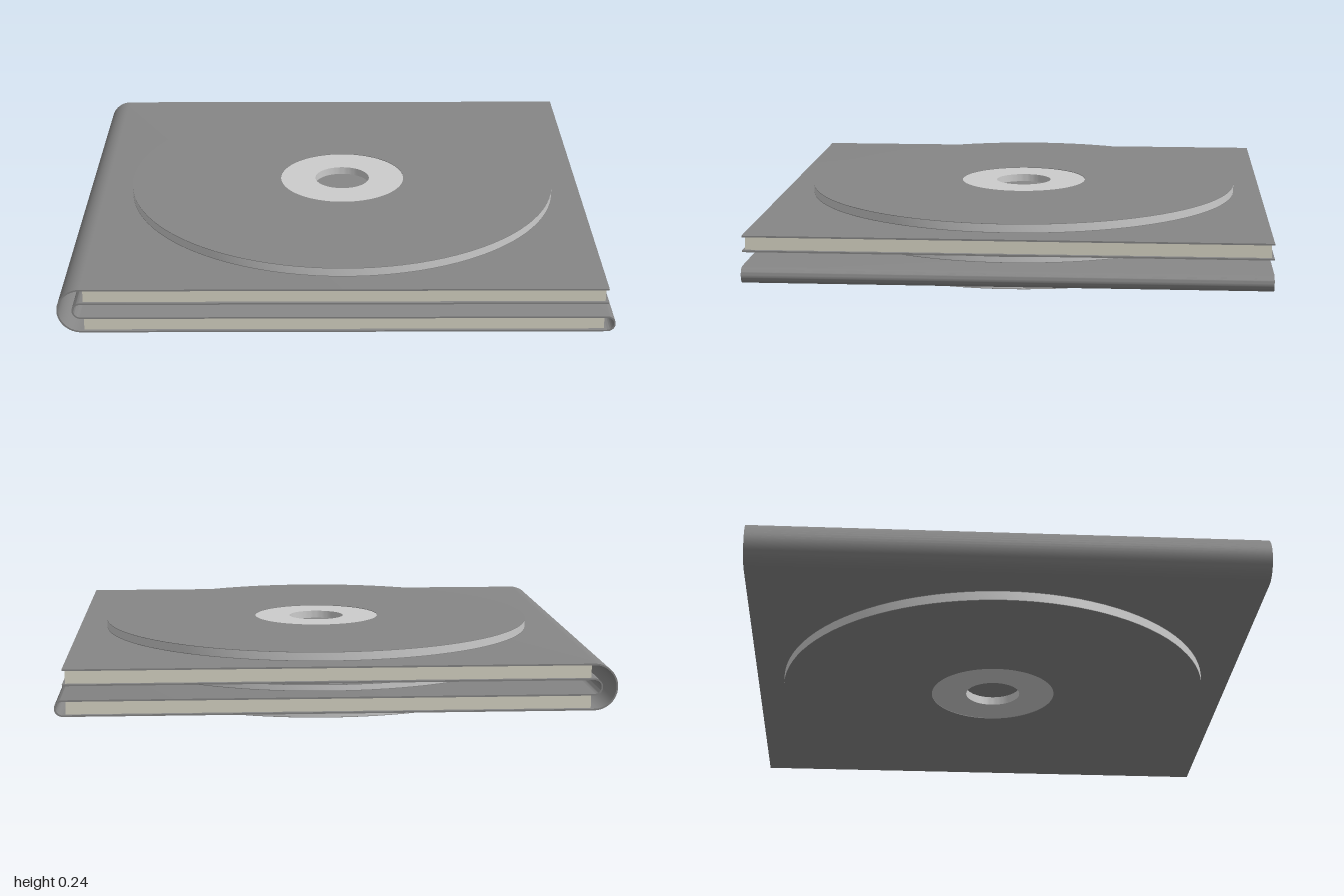
import * as THREE from 'three';
import { toCreasedNormals } from 'three/addons/utils/BufferGeometryUtils.js';

const material = (color) => new THREE.MeshStandardMaterial({ color });
const grey = material(0x868686);
const light = material(0xcccccc);
const cream = material(0xd9d6c6);

const DISC_X = 0.027, R = 0.836, HUB = 0.245, HOLE = 0.107;
const DEPTH = 1.88;

function add(parent, name, geometry, mat, x = 0, y = 0, z = 0) {
  const mesh = new THREE.Mesh(geometry, mat);
  mesh.name = name;
  mesh.position.set(x, y, z);
  parent.add(mesh);
  return mesh;
}

// Closed rectangular ring turned about y
function ring(inner, outer, y0, y1) {
  const profile = [[inner, y0], [outer, y0], [outer, y1], [inner, y1], [inner, y0]]
    .map(([r, y]) => new THREE.Vector2(r, y));
  return toCreasedNormals(new THREE.LatheGeometry(profile, 96), 0.6);
}

// Points along a half circle
function arc(cx, cy, r, from, to, n = 24) {
  return Array.from({ length: n + 1 }, (_, i) => {
    const a = from + (to - from) * i / n;
    return new THREE.Vector2(cx + r * Math.cos(a), cy + r * Math.sin(a));
  });
}

// Gives a line of points a thickness and extrudes it through the depth
function sheet(points, thickness) {
  const sides = [[], []];
  points.forEach((p, i) => {
    const a = points[Math.max(i - 1, 0)];
    const b = points[Math.min(i + 1, points.length - 1)];
    const d = b.clone().sub(a).normalize().multiplyScalar(thickness / 2);
    sides[0].push(new THREE.Vector2(p.x - d.y, p.y + d.x));
    sides[1].unshift(new THREE.Vector2(p.x + d.y, p.y - d.x));
  });
  const shape = new THREE.Shape([...sides[0], ...sides[1]]);
  const geometry = new THREE.ExtrudeGeometry(shape, { depth: DEPTH, bevelEnabled: false });
  geometry.translate(0, 0, -DEPTH / 2);
  return toCreasedNormals(geometry, 0.5);
}

// Disc: pale core with a visible hub, grey playing surface on both faces
function disc(name, y0, y1) {
  const group = new THREE.Group();
  group.name = name;
  group.position.x = DISC_X;
  const skin = 0.002;
  add(group, 'discCore', ring(HOLE, R, y0 + skin, y1 - skin), light);
  add(group, 'lowerSurface', ring(HUB, R, y0, y0 + skin), grey);
  add(group, 'upperSurface', ring(HUB, R, y1 - skin, y1), grey);
  return group;
}

export function createModel() {
  const model = new THREE.Group();
  model.name = 'foldedDiscCase';
  const PI = Math.PI;

  // One folded sheet: top, round spine, bottom, closing lip, inner fold
  const path = [
    new THREE.Vector2(0.97, 0.204),
    ...arc(-0.915, 0.122, 0.082, PI / 2, PI * 1.5),
    ...arc(0.97, 0.067, 0.027, -PI / 2, PI / 2),
    ...arc(-0.915, 0.122, 0.028, PI * 1.5, PI / 2),
    new THREE.Vector2(0.97, 0.15),
  ];
  add(model, 'foldedCover', sheet(path, 0.006), grey);

  // Boards inside the two halves
  for (const [name, y] of [['lowerBoard', 0.067], ['upperBoard', 0.177]]) {
    add(model, name, new THREE.BoxGeometry(1.865, 0.046, 1.86), cream, 0.0275, y, 0);
  }

  // Discs on the outside and between the two halves
  model.add(
    disc('bottomDisc', 0, 0.037),
    disc('lowerInnerDisc', 0.097, 0.121),
    disc('upperInnerDisc', 0.123, 0.147),
    disc('topDisc', 0.207, 0.24),
  );
  return model;
}
